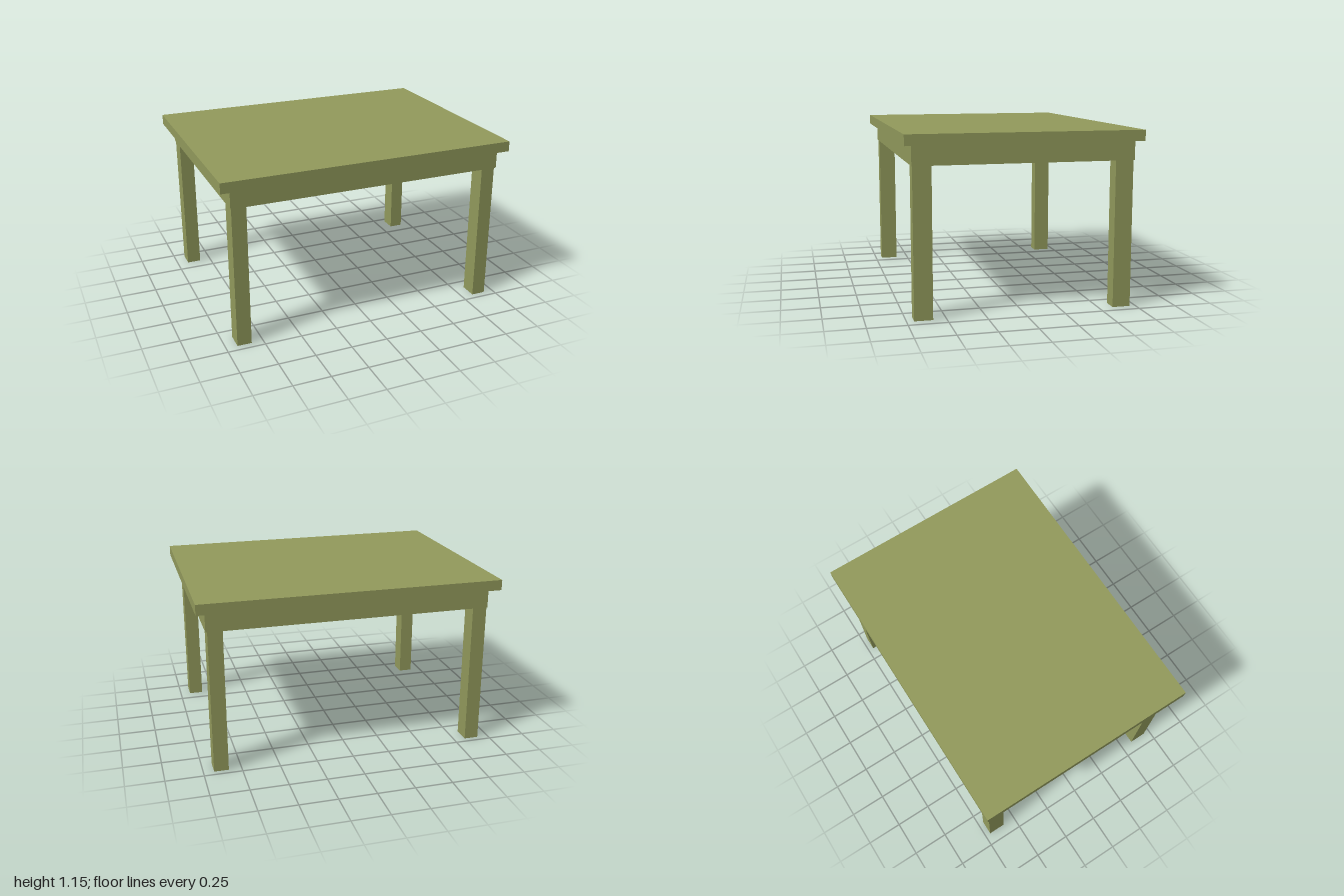
import * as THREE from 'three';

export function createModel() {
  const table = new THREE.Group();
  table.name = 'table';
  const olive = new THREE.MeshStandardMaterial({ color: 0x929a5c });
  olive.name = 'olive paint';

  // Box spanning the given limits on each axis
  function block(name, [x0, x1], [y0, y1], [z0, z1]) {
    const mesh = new THREE.Mesh(new THREE.BoxGeometry(x1 - x0, y1 - y0, z1 - z0), olive);
    mesh.position.set((x0 + x1) / 2, (y0 + y1) / 2, (z0 + z1) / 2);
    mesh.name = name;
    table.add(mesh);
  }

  // Top slab and the solid apron block below it
  block('tableTop', [-1, 1], [1.083, 1.152], [-0.758, 0.758]);
  block('apron', [-0.929, 0.942], [0.957, 1.083], [-0.715, 0.708]);

  // Four legs, one under each apron corner
  const sides = { Left: [0.835, 0.931], Right: [-0.924, -0.828] };
  const ends = { front: [0.585, 0.703], back: [-0.711, -0.593] };
  for (const [end, z] of Object.entries(ends)) {
    for (const [side, x] of Object.entries(sides)) {
      block(`${end}${side}Leg`, x, [0, 0.957], z);
    }
  }
  return table;
}
